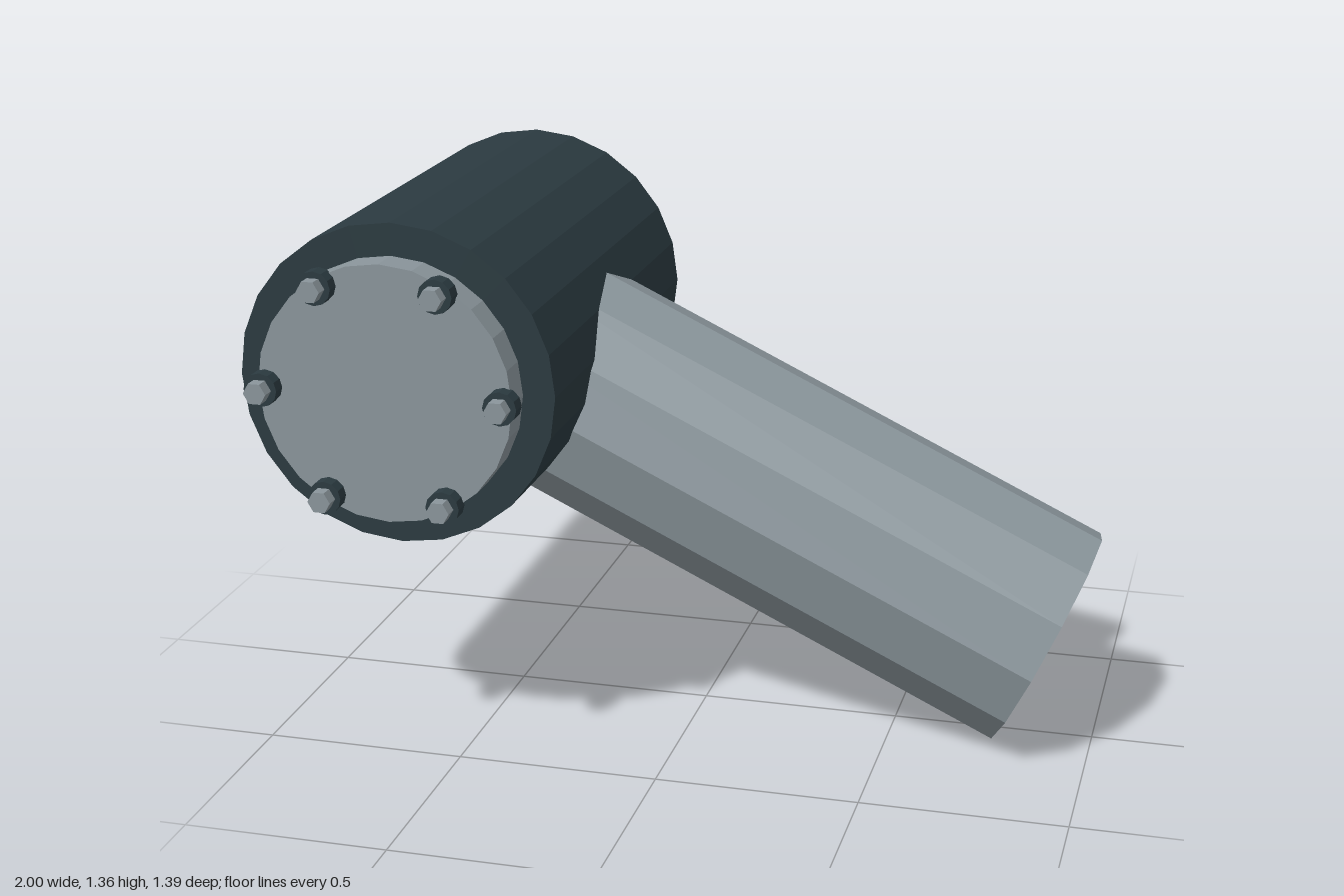
import * as THREE from 'three';

export function createModel() {
  const model = new THREE.Group();
  model.name = 'pivotJoint';

  const steel = new THREE.MeshStandardMaterial({ color: 0x8a959b });
  steel.name = 'greySteel';
  steel.flatShading = true;
  const dark = new THREE.MeshStandardMaterial({ color: 0x2b3a40 });
  dark.name = 'darkHousing';
  dark.flatShading = true;

  const pivot = new THREE.Vector3(-0.61, 0.97, 0);
  const armEnd = new THREE.Vector3(0.874, 0.267, 0);

  const add = (name, geometry, material, parent = model) => {
    const mesh = new THREE.Mesh(geometry, material);
    mesh.name = name;
    parent.add(mesh);
    return mesh;
  };

  // Cylinder lying along z, from z0 to z1
  const axial = (radius, z0, z1, sides, turn = 0) =>
    new THREE.CylinderGeometry(radius, radius, z1 - z0, sides, 1, false, turn)
      .rotateX(Math.PI / 2)
      .translate(0, 0, (z0 + z1) / 2);

  // Housing drum
  add('housing', axial(0.39, -0.545, 0.545, 24), dark).position.copy(pivot);

  // End caps with a ring of six bolts, the same at both ends
  for (const side of [1, -1]) {
    const end = new THREE.Group();
    end.name = side > 0 ? 'frontCap' : 'backCap';
    end.position.copy(pivot);
    if (side < 0) end.rotation.y = Math.PI;
    add('capPlate', axial(0.312, 0.53, 0.625, 24), steel, end);
    for (let i = 0; i < 6; i++) {
      const a = (i * Math.PI) / 3;
      const bolt = new THREE.Group();
      bolt.name = 'bolt';
      bolt.position.set(0.293 * Math.cos(a), 0.293 * Math.sin(a), 0);
      add('washer', axial(0.041, 0.62, 0.66, 12), dark, bolt);
      add('boltHead', axial(0.028, 0.655, 0.693, 6, Math.PI / 6), steel, bolt);
      end.add(bolt);
    }
    model.add(end);
  }

  // Sloping bars running from the pivot down to the right
  const slope = new THREE.Vector3().subVectors(armEnd, pivot);
  const bar = (name, radius, z) => {
    const mesh = add(name, new THREE.CylinderGeometry(radius, radius, slope.length(), 12), steel);
    mesh.position.addVectors(pivot, armEnd).multiplyScalar(0.5).setZ(z);
    mesh.rotation.z = Math.atan2(slope.y, slope.x) - Math.PI / 2;
  };
  bar('mainArm', 0.292, 0);
  bar('sideRod', 0.093, -0.45);

  return model;
}
